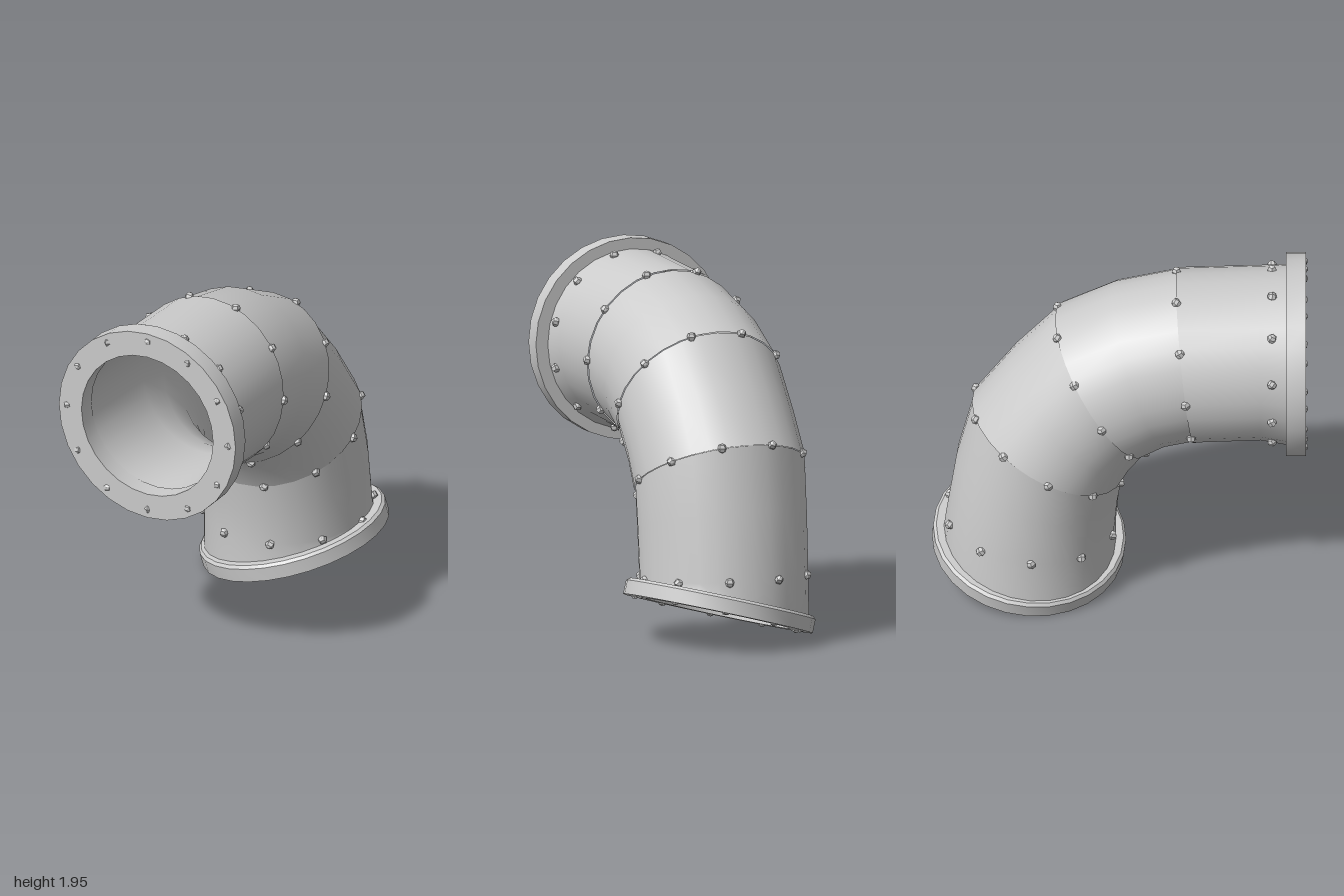
import * as THREE from 'three';
import { toCreasedNormals } from 'three/addons/utils/BufferGeometryUtils.js';

const SIDES = 28;
const grey = new THREE.MeshStandardMaterial({ color: 0xcccccc });
const rivetMat = new THREE.MeshStandardMaterial({ color: 0xcccccc, flatShading: true });
const rivetGeo = new THREE.SphereGeometry(0.026, 5, 4);

// Cross-section from its outer-bend point and inner-bend point (z, y), half width, x shift and side tilt.
function ring(zo, yo, zi, yi, half = 0.46, x = 0, tilt = 0) {
  return {
    c: new THREE.Vector3(x, (yo + yi) / 2, (zo + zi) / 2),
    u: new THREE.Vector3(0, (yo - yi) / 2, (zo - zi) / 2),
    s: new THREE.Vector3(half, tilt, 0),
  };
}

const pointOn = (r, a, k = 1) =>
  r.c.clone().addScaledVector(r.u, Math.cos(a) * k).addScaledVector(r.s, Math.sin(a) * k);

// Tube surface through rings; scales[i] widens or narrows each ring.
function loft(rings, scales, inward = false) {
  const pos = [], idx = [], row = SIDES;
  rings.forEach((r, i) => {
    for (let j = 0; j < SIDES; j++) pos.push(...pointOn(r, (j / SIDES) * Math.PI * 2, scales[i]).toArray());
  });
  for (let i = 0; i < rings.length - 1; i++) {
    for (let j = 0; j < SIDES; j++) {
      const a = i * row + j, b = i * row + (j + 1) % SIDES, c = a + row, d = b + row;
      if (inward) idx.push(a, c, b, b, c, d);
      else idx.push(a, b, c, b, d, c);
    }
  }
  const g = new THREE.BufferGeometry();
  g.setAttribute('position', new THREE.Float32BufferAttribute(pos, 3));
  g.setIndex(idx);
  g.computeVertexNormals();
  return g;
}

// Flat ring with a hole, standing on its own y = 0
function flange(name, inner, outer, h, bevel) {
  const profile = [[inner, 0], [outer, 0], [outer, h - bevel], [outer - bevel, h], [inner, h], [inner, 0]]
    .map(([x, y]) => new THREE.Vector2(x, y));
  const geo = toCreasedNormals(new THREE.LatheGeometry(profile, SIDES), 0.6);
  const group = new THREE.Group();
  group.name = name;
  const plate = new THREE.Mesh(geo, grey);
  plate.name = name + 'Plate';
  group.add(plate);
  return group;
}

// Row of rivets from a function giving the place at each angle
function rivetRow(name, count, place, offset = 0.5) {
  const group = new THREE.Group();
  group.name = name;
  for (let i = 0; i < count; i++) {
    const m = new THREE.Mesh(rivetGeo, rivetMat);
    m.name = 'rivet';
    m.position.copy(place(((i + offset) / count) * Math.PI * 2));
    m.rotation.set(i * 1.3, i * 0.7, 0);
    group.add(m);
  }
  return group;
}

export function createModel() {
  const model = new THREE.Group();
  model.name = 'pipeElbow';
  const add = (name, geo) => {
    const mesh = new THREE.Mesh(geo, grey);
    mesh.name = name;
    model.add(mesh);
  };

  // Pipe sections from the front mouth round the bend to the foot
  const sections = [
    [ring(0.89, 1.89, 0.89, 0.92, 0.475), ring(0.75, 1.885, 0.75, 0.95, 0.465), ring(0.3, 1.865, 0.4, 0.94)],
    [ring(0.3, 1.865, 0.4, 0.94), ring(-0.04, 1.785, 0.27, 0.91), ring(-0.34, 1.63, 0.15, 0.85)],
    [ring(-0.34, 1.63, 0.15, 0.85), ring(-0.58, 1.37, 0.08, 0.76), ring(-0.78, 1.09, 0.02, 0.66)],
    [ring(-0.78, 1.09, 0.02, 0.66), ring(-0.865, 0.75, -0.005, 0.49, 0.455, 0.01),
      ring(-0.92, 0.38, -0.02, 0.31, 0.45, 0.015), ring(-0.935, 0.255, -0.02, 0.165, 0.455, 0.02, 0.123)],
  ];
  sections.forEach((rings, i) => {
    // each section ends in a slight lip over the next one
    const scales = rings.map((_, k) => (k === rings.length - 1 && i < 3 ? 1.012 : 1));
    add('pipeSection' + (i + 1), loft(rings, scales));
  });

  // Inner wall
  const inside = [ring(0.97, 1.88, 0.97, 0.93, 0.47), ...sections[0].slice(1), ...sections[1].slice(1),
    ...sections[2].slice(1), ...sections[3].slice(1), ring(-0.94, 0.2, -0.02, 0.11, 0.455, 0.035, 0.123)];
  add('innerWall', loft(inside, inside.map(() => 0.875), true));

  // Rivets on the pipe
  const rows = [ring(0.81, 1.885, 0.81, 0.94, 0.47), ...sections.slice(0, 3).map((s) => s[2]), sections[3][2]];
  rows.forEach((r, i) => {
    model.add(rivetRow('pipeRivets' + (i + 1), i ? 10 : 12, (a) => pointOn(r, a, 1.01)));
  });

  // Front flange
  const front = flange('frontFlange', 0.405, 0.543, 0.105, 0);
  front.rotation.x = -Math.PI / 2;
  front.position.set(0, 1.407, 0.99);
  front.add(rivetRow('frontFlangeRivets', 12,
    (a) => new THREE.Vector3(Math.sin(a) * 0.495, 0.014, Math.cos(a) * 0.495), 0));
  model.add(front);

  // Tilted foot flange
  const foot = flange('footFlange', 0.395, 0.515, 0.09, 0.015);
  foot.quaternion.setFromUnitVectors(new THREE.Vector3(0, 1, 0), new THREE.Vector3(-0.27, 1, 0.1).normalize());
  foot.position.set(0.055, 0.143, -0.485);
  foot.add(rivetRow('footFlangeRivets', 10,
    (a) => new THREE.Vector3(Math.sin(a) * 0.46, 0.012, Math.cos(a) * 0.46)));
  model.add(foot);

  return model;
}
